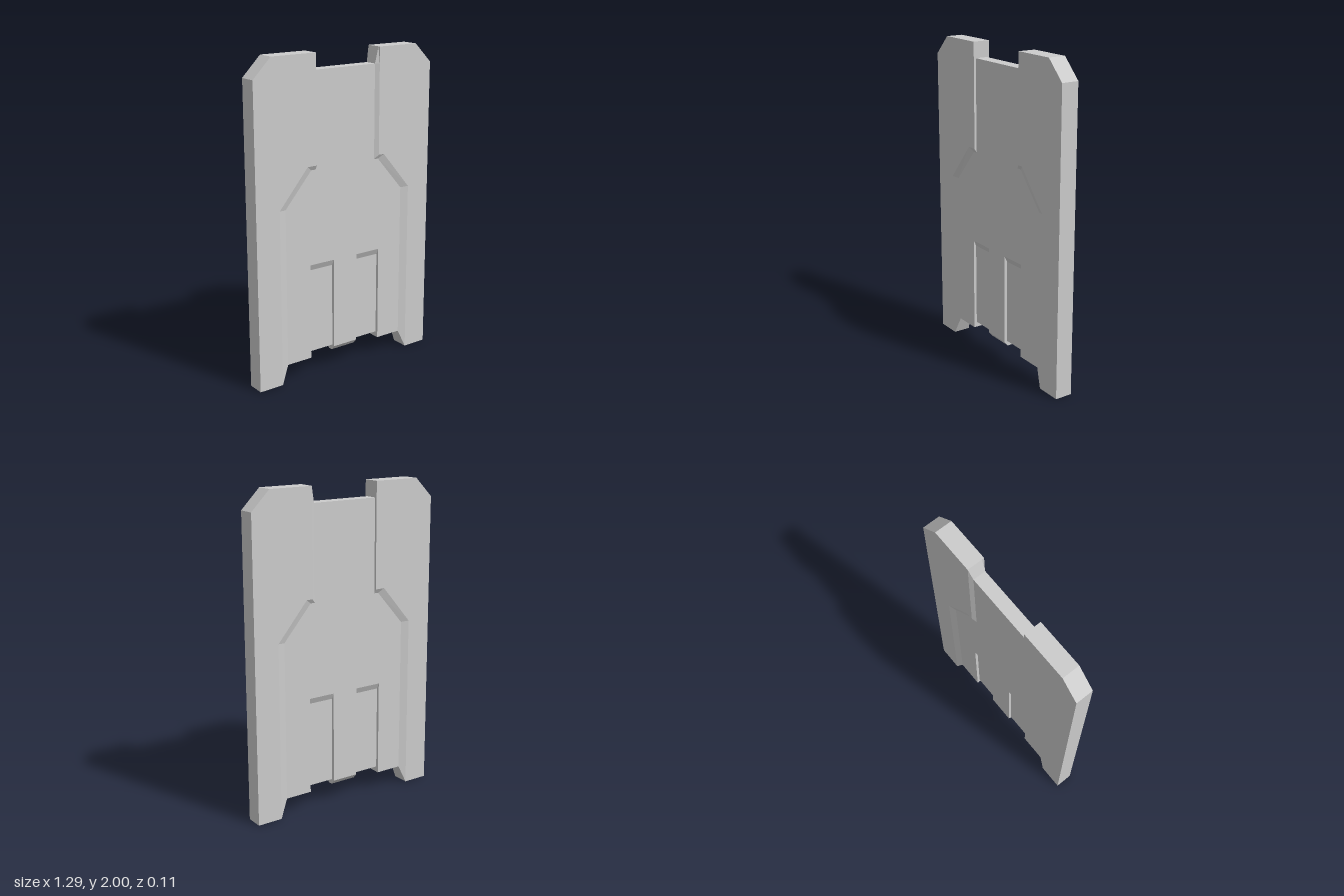
import * as THREE from 'three';

const material = new THREE.MeshStandardMaterial({ color: 0xcccccc, flatShading: true });
const FACE = 0.055;    // half thickness of the raised side panels
const RECESS = 0.04;   // half thickness of the middle plate
const GROOVE = 0.022;  // half thickness at the groove floors

// Joins matching outlines [{ z, pts }] listed from back to front, and caps both ends
function loft(name, sections) {
  const flip = THREE.ShapeUtils.area(sections[0].pts.map(p => new THREE.Vector2(...p))) < 0;
  const rings = sections.map(({ z, pts }) => {
    const ring = pts.map(([x, y]) => new THREE.Vector3(x, y, z));
    return flip ? ring.reverse() : ring;
  });
  const positions = [];
  const tri = (a, b, c) => {
    if (new THREE.Triangle(a, b, c).getArea() > 1e-8) {
      for (const p of [a, b, c]) positions.push(p.x, p.y, p.z);
    }
  };
  for (let k = 0; k + 1 < rings.length; k++) {
    const r0 = rings[k], r1 = rings[k + 1];
    r0.forEach((a, i) => {
      const j = (i + 1) % r0.length;
      tri(a, r0[j], r1[j]);
      tri(a, r1[j], r1[i]);
    });
  }
  const cap = (ring, back) => {
    const flat = ring.map(p => new THREE.Vector2(p.x, p.y));
    for (const [a, b, c] of THREE.ShapeUtils.triangulateShape(flat, [])) {
      if (back) tri(ring[a], ring[c], ring[b]);
      else tri(ring[a], ring[b], ring[c]);
    }
  };
  cap(rings[0], true);
  cap(rings[rings.length - 1], false);
  const geometry = new THREE.BufferGeometry();
  geometry.setAttribute('position', new THREE.Float32BufferAttribute(positions, 3));
  geometry.computeVertexNormals();
  const mesh = new THREE.Mesh(geometry, material);
  mesh.name = name;
  return mesh;
}

// Repeats front sections on the back; input runs from the middle outwards
function symmetric(name, half) {
  const back = half.map(({ z, pts }) => ({ z: -z, pts })).reverse();
  return loft(name, [...back, ...half]);
}

// Raised side panel with bevelled inner edge and a clipped top corner
function sidePanel(name, side, notchX) {
  const mirror = pts => pts.map(([x, y]) => [x * side, y]);
  const outer = [[0.525, 2], [0.645, 1.88], [0.645, 0], [0.485, 0]];
  const base = mirror([...outer, [0.435, 0.115], [0.435, 1.1],
    [0.25, 1.313], [0.22, 1.313], [0.22, 1.9], [notchX, 2]]);
  const top = mirror([...outer, [0.485, 0], [0.485, 1.105],
    [0.285, 1.34], [notchX, 1.34], [notchX, 1.9], [notchX, 2]]);
  return symmetric(name, [{ z: RECESS, pts: base }, { z: FACE, pts: top }]);
}

// Outline of the middle plate; grooveY is the groove top, tabY the tab's lower edge
function plateOutline(grooveY, tabY) {
  return [
    [-0.435, 0.115], [-0.263, 0.115], [-0.263, grooveY], [-0.088, grooveY], [-0.088, tabY],
    [0.086, tabY], [0.086, grooveY], [0.261, grooveY], [0.261, 0.115], [0.435, 0.115],
    [0.435, 1.1], [0.25, 1.313], [0.22, 1.313], [0.22, 1.9],
    [-0.22, 1.9], [-0.22, 1.313], [-0.25, 1.313], [-0.435, 1.1],
  ];
}

export function createModel() {
  const group = new THREE.Group();
  group.name = 'panelledPlate';

  // Middle plate with two grooves and a wedge-shaped tab between them
  group.add(symmetric('middlePlate', [
    { z: 0.014, pts: plateOutline(0.15, 0.115) },
    { z: GROOVE, pts: plateOutline(0.15, 0.124) },
    { z: GROOVE, pts: plateOutline(0.685, 0.124) },
    { z: RECESS, pts: plateOutline(0.723, 0.145) },
  ]));

  // Side panels; the left one has a sloped notch wall
  group.add(sidePanel('leftPanel', 1, 0.245));
  group.add(sidePanel('rightPanel', -1, 0.22));
  return group;
}
